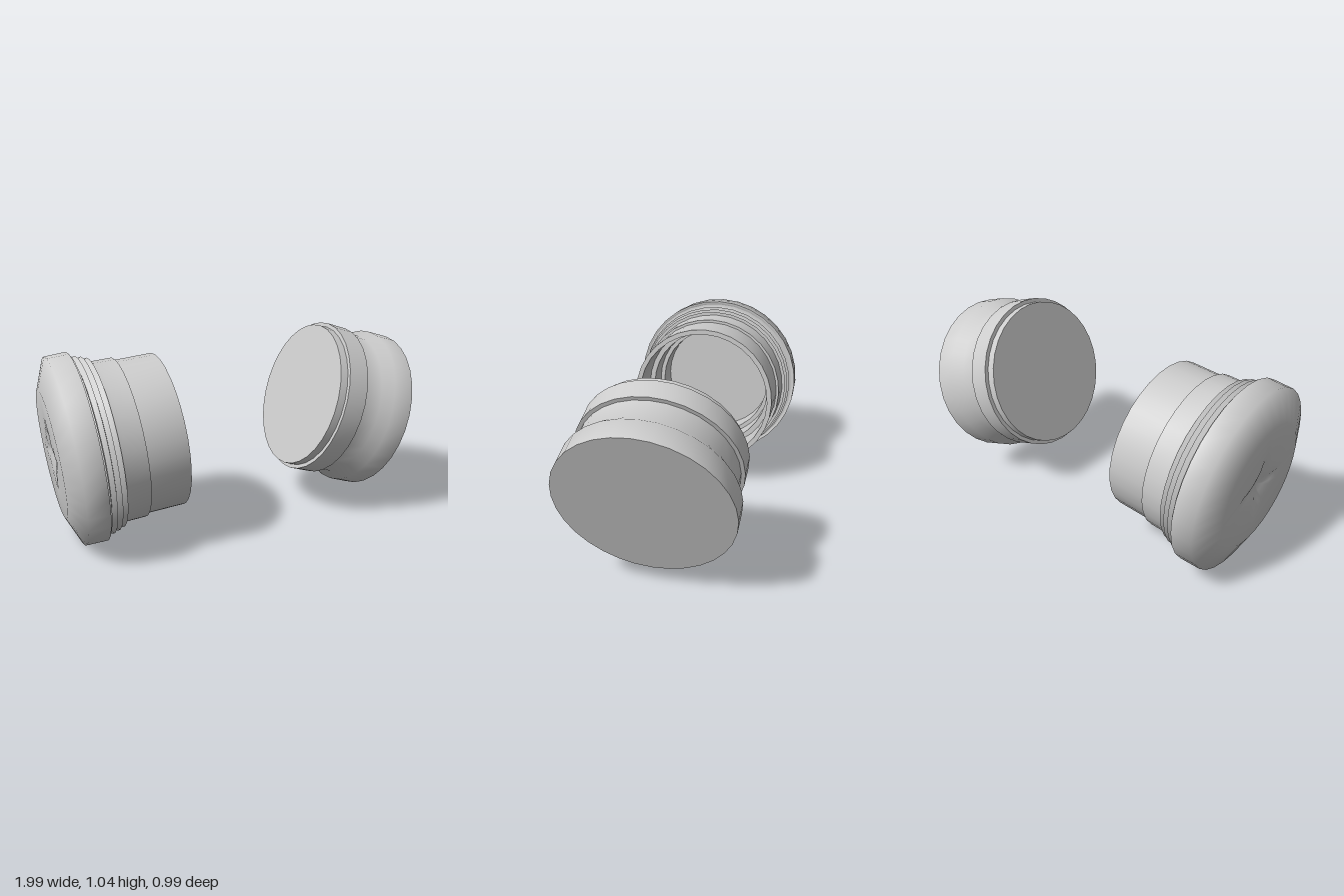
import * as THREE from 'three';
import { toCreasedNormals } from 'three/addons/utils/BufferGeometryUtils.js';

const SEGMENTS = 32;

// Turned solid from [radius, distance along axis] pairs; `shape` may adjust vertices.
function turned(profile, material, name, shape) {
  const points = profile.map(([r, s]) => new THREE.Vector2(r, s));
  const geometry = new THREE.LatheGeometry(points, SEGMENTS);
  if (shape) shape(geometry.attributes.position);
  const mesh = new THREE.Mesh(toCreasedNormals(geometry, 1.25), material);
  mesh.name = name;
  return mesh;
}

// Places a part so its turning axis points along (dx, dy).
function place(mesh, x, y, dx, dy) {
  mesh.position.set(x, y, 0);
  mesh.rotation.z = Math.atan2(dy, dx) - Math.PI / 2;
  return mesh;
}

// Shallow four-pointed dent in the middle of the head.
function dentHead(position) {
  const reach = 0.19, depth = 0.03, p = 0.7, face = -0.608;
  for (let i = 0; i < position.count; i++) {
    if (Math.abs(position.getY(i) - face) > 0.0005) continue;
    const x = Math.abs(position.getX(i)), z = Math.abs(position.getZ(i));
    const d = Math.pow(Math.pow(x, p) + Math.pow(z, p), 1 / p) / reach;
    position.setY(i, face + depth * Math.max(0, 1 - d));
  }
}

export function createModel() {
  const group = new THREE.Group();
  const grey = new THREE.MeshStandardMaterial({ color: 0xcccccc });
  grey.name = 'light grey';

  // Hollow socket: domed head, stepped ridges, collar, open sleeve
  const socket = [
    [0, -0.608], [0.05, -0.608], [0.1, -0.608], [0.15, -0.608], [0.19, -0.608],
    [0.335, -0.608], [0.492, -0.545], [0.496, -0.435], [0.478, -0.435],
  ];
  const ridges = [[0.481, -0.426], [0.469, -0.395], [0.46, -0.366], [0.449, -0.338]];
  for (const [r, s] of ridges) socket.push([r - 0.015, s - 0.024], [r, s], [r - 0.018, s]);
  socket.push(
    [0.426, -0.31], [0.426, -0.212], [0.411, -0.212], [0.412, 0],
    [0.385, 0], [0.385, -0.215], [0.355, -0.215], [0.355, -0.36],
    [0.33, -0.36], [0.33, -0.5], [0, -0.5],
  );
  group.add(place(turned(socket, grey, 'hollowSocket', dentHead), -0.3625, 0.55, 0.995, 0.097));

  // Solid plug: small end face, raised band, neck, flared end
  const plug = [
    [0, 0], [0.4, 0], [0.402, 0.042], [0.423, 0.042], [0.423, 0.158],
    [0.403, 0.158], [0.402, 0.268], [0.442, 0.324], [0.443, 0.442], [0, 0.442],
  ];
  group.add(place(turned(plug, grey, 'solidPlug'), 0.4375, 0.66, 0.952, -0.307));

  return group;
}
